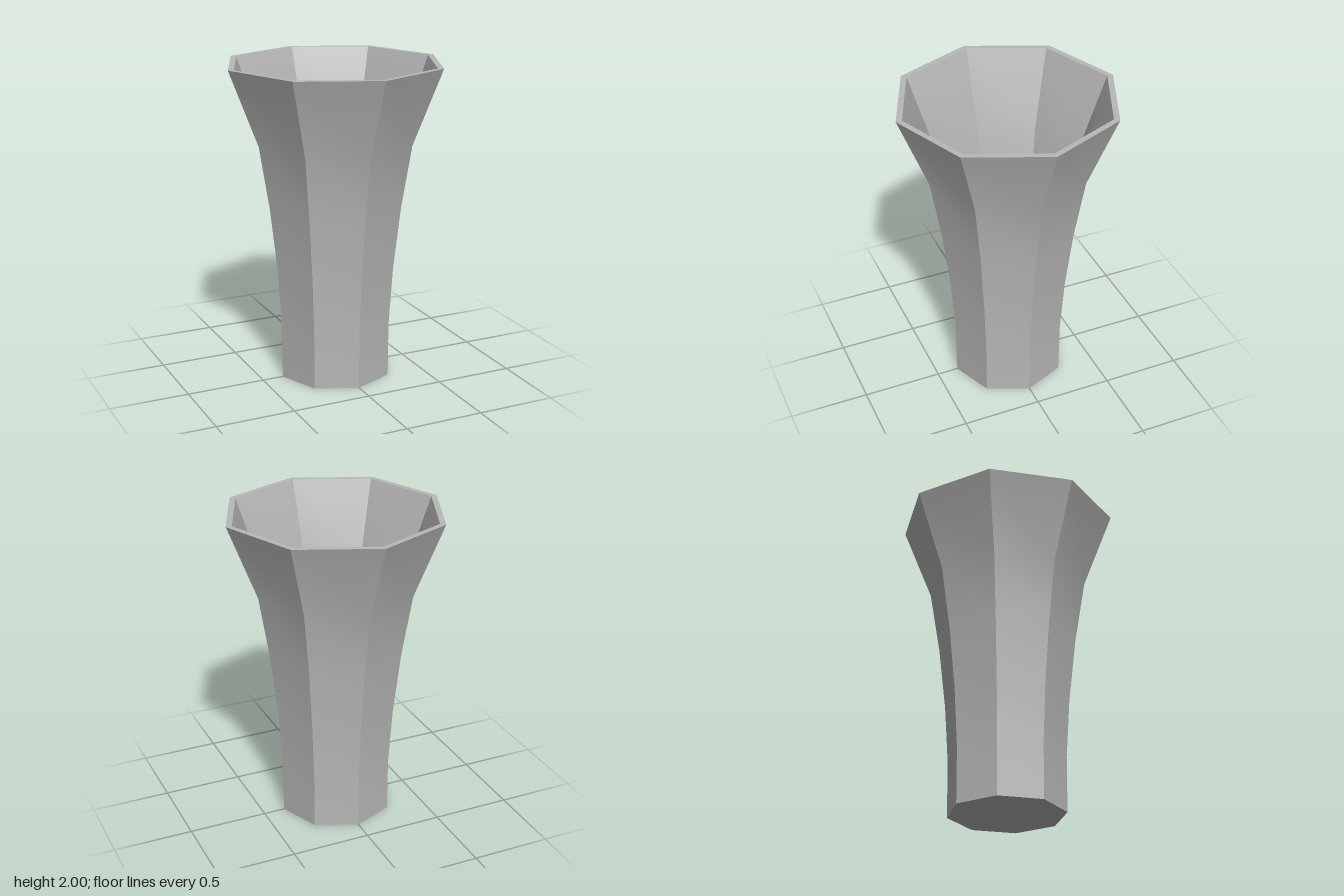
import * as THREE from 'three';
import { toCreasedNormals } from 'three/addons/utils/BufferGeometryUtils.js';

export function createModel() {
  const model = new THREE.Group();
  model.name = 'octagonalVase';

  const ceramic = new THREE.MeshStandardMaterial({ color: 0xb8b8b8 });
  ceramic.name = 'grey ceramic';

  // Eight-sided sweep: crisp between panels, smooth up each panel
  const addPart = (name, points) => {
    const lathe = new THREE.LatheGeometry(points.map(([r, y]) => new THREE.Vector2(r, y)), 8);
    const mesh = new THREE.Mesh(toCreasedNormals(lathe, Math.PI / 6), ceramic);
    mesh.name = name;
    model.add(mesh);
  };

  // Flared outline from foot to lip
  const outer = [[0.364, 0], [0.366, 0.35], [0.39, 0.72], [0.436, 1.12], [0.502, 1.52], [0.688, 2]];
  const inner = outer.map(([r, y]) => [r * 0.945, y]).reverse();
  const foot = outer[0][0], lip = outer[5][0];
  const floorY = 0.01;
  inner[5] = [foot * 0.945, floorY];

  addPart('outerWall', outer);
  addPart('rim', [[lip, 2], [lip * 0.945, 2]]);
  addPart('innerWall', inner);

  // Flat discs closing the foot, with corners aligned to the wall
  const addDisc = (name, radius, y, tilt) => {
    const disc = new THREE.Mesh(new THREE.CircleGeometry(radius, 8), ceramic);
    disc.name = name;
    disc.rotation.x = tilt;
    disc.position.y = y;
    model.add(disc);
  };
  addDisc('floor', foot * 0.945, floorY, -Math.PI / 2);
  addDisc('base', foot, 0, Math.PI / 2);

  return model;
}
